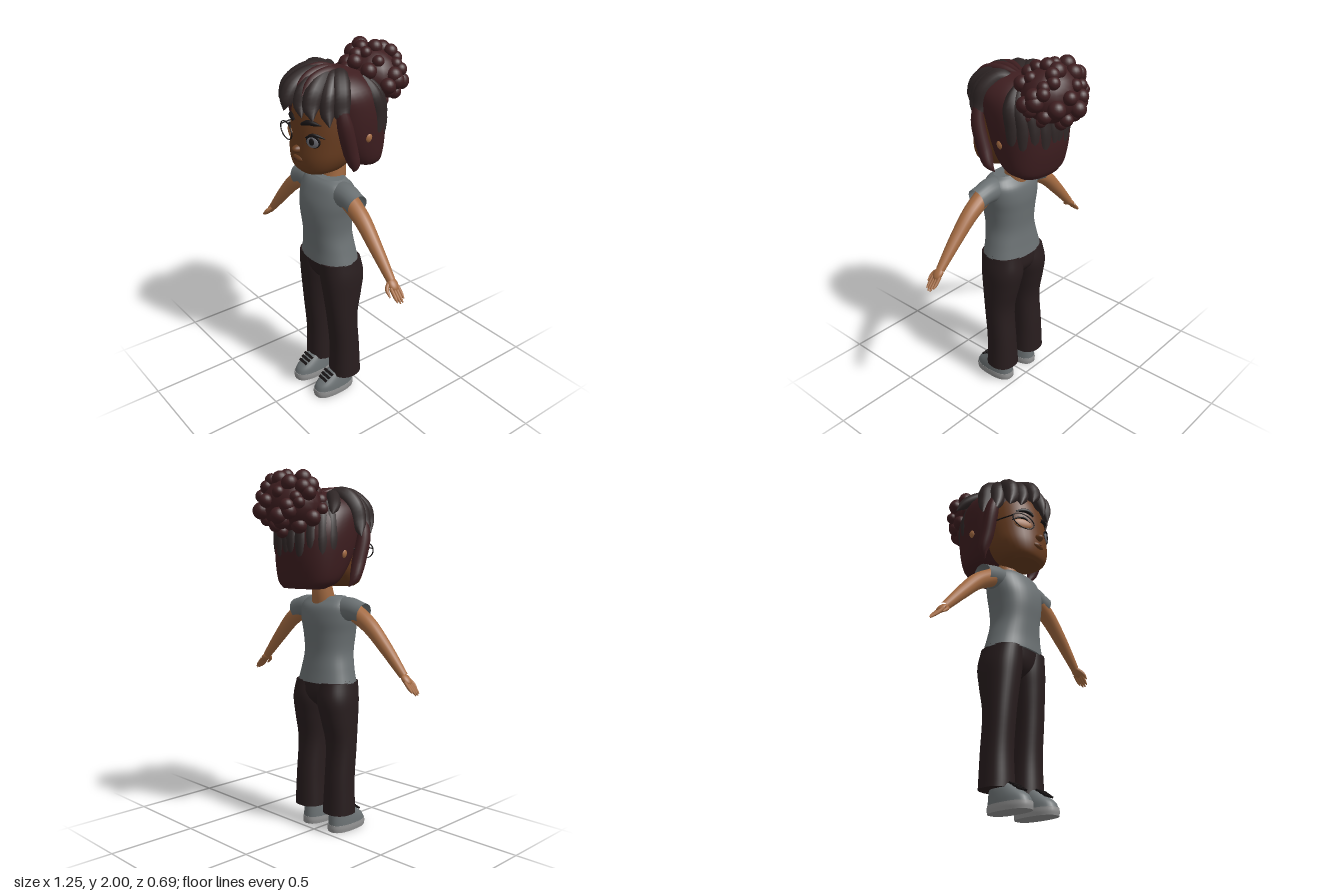
import * as THREE from 'three';

const mat = (name, color, side = THREE.FrontSide) => {
  const m = new THREE.MeshStandardMaterial({ color, side });
  m.name = name;
  return m;
};
const V = (p) => new THREE.Vector3(...p);

// Smooth body from level rings, bottom to top: [y, centre x, half width, front z, back z]
function loft(rings, power = 2.3, steps = 5, n = 36) {
  const centre = new THREE.CatmullRomCurve3(rings.map(([y, cx, , f, b]) => V([cx, y, (f + b) / 2])), false, 'catmullrom', 0.5);
  const size = new THREE.CatmullRomCurve3(rings.map(([, , rx, f, b]) => V([rx, 0, (f - b) / 2])), false, 'catmullrom', 0.5);
  const rows = (rings.length - 1) * steps;
  const pos = [], idx = [];
  const ring = (t) => {
    const c = centre.getPoint(t), r = size.getPoint(t);
    for (let j = 0; j < n; j++) {
      const a = (j / n) * Math.PI * 2, ca = Math.cos(a), sa = Math.sin(a);
      pos.push(c.x + r.x * Math.sign(ca) * Math.abs(ca) ** (2 / power), c.y,
        c.z + r.z * Math.sign(sa) * Math.abs(sa) ** (2 / power));
    }
    return c;
  };
  for (let i = 0; i <= rows; i++) ring(i / rows);
  for (let i = 0; i < rows; i++) {
    for (let j = 0; j < n; j++) {
      const a = i * n + j, b = i * n + ((j + 1) % n);
      idx.push(a, a + n, b, b, a + n, b + n);
    }
  }
  // End caps with their own corners, so the rims stay sharp
  for (const t of [0, 1]) {
    const start = pos.length / 3, c = ring(t);
    pos.push(c.x, c.y, c.z);
    for (let j = 0; j < n; j++) {
      const a = start + j, b = start + ((j + 1) % n);
      if (t) idx.push(start + n, b, a); else idx.push(start + n, a, b);
    }
  }
  const g = new THREE.BufferGeometry();
  g.setAttribute('position', new THREE.Float32BufferAttribute(pos, 3));
  g.setIndex(idx);
  g.computeVertexNormals();
  return g;
}

// Tube through points whose radius follows a list
function taper(points, radii, n = 12, steps = 20) {
  const curve = new THREE.CatmullRomCurve3(points.map(V));
  const g = new THREE.TubeGeometry(curve, steps, 1, n);
  const p = g.attributes.position, v = new THREE.Vector3();
  for (let i = 0; i <= steps; i++) {
    const c = curve.getPointAt(i / steps);
    const u = (i / steps) * (radii.length - 1), k = Math.min(Math.floor(u), radii.length - 2);
    const r = THREE.MathUtils.lerp(radii[k], radii[k + 1], u - k);
    for (let j = 0; j <= n; j++) {
      const q = i * (n + 1) + j;
      v.fromBufferAttribute(p, q).sub(c).multiplyScalar(r).add(c);
      p.setXYZ(q, v.x, v.y, v.z);
    }
  }
  return g;
}

export function createModel() {
  const root = new THREE.Group();
  root.name = 'girl';
  const skin = mat('skin', 0xa46b42), faceSkin = mat('face skin', 0x683c1f);
  const darkHair = mat('dark hair', 0x2f2626), redHair = mat('dark red', 0x3e1e20);
  const shirt = mat('shirt grey', 0x6a7072, THREE.DoubleSide), pants = mat('trouser brown', 0x281d1e);
  const shoe = mat('shoe grey', 0x6b7173), sole = mat('sole grey', 0x929292);
  const black = mat('black', 0x171314), eyeGrey = mat('eye grey', 0x6f6f76);

  const add = (name, geometry, material) => {
    const m = new THREE.Mesh(geometry, material);
    m.name = name;
    root.add(m);
    return m;
  };
  const ball = (name, material, p, s, ry = 0) => {
    const m = add(name, new THREE.SphereGeometry(1, 20, 14), material);
    m.position.set(...p);
    m.scale.set(...s);
    m.rotation.y = ry;
    return m;
  };
  const strand = (name, material, points, r) =>
    add(name, taper(points, [0.3, 0.8, 1, 1, 0.97, 0.8, 0.03].map((k) => k * r)), material);

  // Shirt body, trouser seat and neck
  add('shirt', loft([
    [0.855, 0, 0.18, 0.232, -0.022], [0.93, 0, 0.16, 0.23, -0.01], [1.02, 0, 0.142, 0.238, 0],
    [1.12, 0, 0.15, 0.25, -0.005], [1.2, 0, 0.165, 0.245, -0.01], [1.27, 0, 0.168, 0.222, 0],
    [1.31, 0, 0.148, 0.2, 0.03], [1.33, 0, 0.11, 0.175, 0.05]]), shirt);
  add('trouserSeat', loft([
    [0.7, 0, 0.03, 0.13, 0.06], [0.74, 0, 0.08, 0.185, 0.01], [0.79, 0, 0.15, 0.212, -0.02],
    [0.87, 0, 0.176, 0.224, -0.015]]), pants);
  add('neck', taper([[0, 1.28, 0.08], [0, 1.36, 0.065], [0, 1.46, 0.06]], [0.068, 0.058, 0.058], 20), skin);

  for (const s of [1, -1]) {
    const side = s > 0 ? 'left' : 'right';
    // Trouser leg
    add(side + 'TrouserLeg', loft([
      [0.115, s * 0.112, 0.088, 0.176, 0], [0.3, s * 0.113, 0.08, 0.173, 0.008],
      [0.5, s * 0.111, 0.081, 0.19, 0.02], [0.65, s * 0.103, 0.091, 0.206, -0.01],
      [0.76, s * 0.094, 0.1, 0.217, -0.03], [0.86, s * 0.088, 0.09, 0.222, -0.015]], 2.3), pants);
    // Shoe with sole and laces
    add(side + 'Sole', loft([[0, s * 0.1, 0.063, 0.288, 0.034], [0.02, s * 0.1, 0.065, 0.291, 0.032],
      [0.04, s * 0.1, 0.064, 0.289, 0.034]], 2.5), sole);
    add(side + 'Shoe', loft([[0.038, s * 0.1, 0.063, 0.287, 0.036], [0.07, s * 0.1, 0.06, 0.27, 0.038],
      [0.105, s * 0.1, 0.054, 0.225, 0.042], [0.135, s * 0.1, 0.045, 0.185, 0.05]], 2.4), shoe);
    for (let i = 0; i < 3; i++) {
      const lace = add(side + 'Lace', new THREE.BoxGeometry(0.076 - i * 0.006, 0.009, 0.016), black);
      lace.position.set(s * 0.1, 0.13 - i * 0.014, 0.196 + i * 0.02);
      lace.rotation.x = 0.6;
    }
    // Sleeve and arm
    add(side + 'Sleeve', taper([[s * 0.07, 1.25, 0.115], [s * 0.17, 1.262, 0.115], [s * 0.258, 1.242, 0.118]],
      [0.06, 0.068, 0.065, 0.058, 0.058], 20), shirt);
    add(side + 'Arm', taper([[s * 0.19, 1.25, 0.12], [s * 0.3, 1.182, 0.12], [s * 0.41, 1.075, 0.122],
      [s * 0.535, 0.94, 0.122]], [0.05, 0.046, 0.041, 0.036, 0.03, 0.023], 18), skin);
    // Hand with fingers and thumb
    const palm = ball(side + 'Palm', skin, [s * 0.55, 0.925, 0.122], [0.038, 0.018, 0.028]);
    palm.rotation.z = -s * 0.78;
    for (let i = 0; i < 4; i++) {
      const z = 0.1 + i * 0.015, l = i === 0 ? 0.8 : i === 3 ? 0.9 : 1;
      add(side + 'Finger', taper([[s * 0.56, 0.915, z], [s * (0.56 + 0.03 * l), 0.915 - 0.032 * l, z],
        [s * (0.56 + 0.062 * l), 0.915 - 0.064 * l, z]], [0.009, 0.009, 0.009, 0.003], 8, 8), skin);
    }
    add(side + 'Thumb', taper([[s * 0.535, 0.935, 0.135], [s * 0.552, 0.91, 0.162], [s * 0.585, 0.88, 0.168]],
      [0.011, 0.011, 0.009, 0.003], 8, 8), skin);
    ball(side + 'Ear', skin, [s * 0.2 - 0.012, 1.565, 0.0], [0.022, 0.03, 0.024]);
  }

  // Head, nose and mouth
  add('head', loft([
    [1.383, 0, 0.09, 0.268, 0.11], [1.41, 0, 0.135, 0.29, 0.05], [1.47, 0, 0.17, 0.3, -0.03],
    [1.55, 0, 0.185, 0.296, -0.1], [1.65, 0, 0.19, 0.287, -0.14], [1.75, 0, 0.18, 0.265, -0.13],
    [1.83, 0, 0.14, 0.22, -0.08], [1.87, 0, 0.07, 0.15, 0]]), faceSkin);
  ball('nose', faceSkin, [0, 1.514, 0.294], [0.025, 0.021, 0.035]);
  ball('lips', faceSkin, [0, 1.464, 0.291], [0.042, 0.02, 0.021]);
  const faceZ = (x) => 0.095 + 0.2 * (1 - (Math.abs(x) / 0.187) ** 2.3) ** 0.435;
  const onFace = (x, y, d = 0) => [x, y, faceZ(x) + d];
  add('mouthLine', taper([[-0.042, 1.467, 0.293], [0, 1.464, 0.311], [0.042, 1.467, 0.293]],
    [0.001, 0.003, 0.001], 6), redHair);

  // Brows and lashes
  for (const s of [1, -1]) {
    add('brow', taper([onFace(s * 0.03, 1.65, -0.005), onFace(s * 0.075, 1.666, -0.007), onFace(s * 0.13, 1.657, -0.01)],
      [0.008, 0.014, 0.012, 0.002], 8), black);
    add('upperLash', taper([onFace(s * 0.06, 1.588, 0.002), onFace(s * 0.1, 1.61, 0.002), onFace(s * 0.15, 1.594, 0.004)],
      [0.002, 0.007, 0.008, 0.002], 8), black);
  }
  // Open left eye
  ball('eyeRim', black, onFace(0.1, 1.576, -0.002), [0.042, 0.035, 0.008], 0.42);
  ball('iris', eyeGrey, onFace(0.1, 1.572, 0.001), [0.035, 0.029, 0.009], 0.42);
  ball('pupil', black, onFace(0.1, 1.575, 0.005), [0.018, 0.02, 0.008], 0.42);
  // Right eyelid behind a round lens frame
  ball('eyelid', skin, onFace(-0.1, 1.574, -0.003), [0.056, 0.03, 0.01], -0.42);
  const rim = add('glassesRim', new THREE.TorusGeometry(1, 0.05, 8, 40), black);
  rim.position.set(-0.112, 1.578, 0.287);
  rim.scale.set(0.074, 0.044, 0.07);
  rim.rotation.y = -0.2;
  add('glassesTemple', taper([[-0.184, 1.59, 0.272], [-0.205, 1.59, 0.15], [-0.208, 1.58, 0.02]], [0.004, 0.004], 6), black);

  // Hair mass around the back of the head
  add('hairBack', loft([
    [1.378, -0.005, 0.135, -0.01, -0.155], [1.42, -0.008, 0.186, 0.075, -0.175], [1.54, -0.012, 0.212, 0.165, -0.198],
    [1.68, -0.014, 0.224, 0.21, -0.195], [1.79, -0.012, 0.207, 0.24, -0.145], [1.86, -0.01, 0.14, 0.21, -0.065],
    [1.888, -0.01, 0.05, 0.12, 0.01]], 2.3), redHair);
  // Locks framing the face
  for (const [s, x] of [[1, 0.195], [-1, -0.222]]) {
    strand('sideLock', redHair, [[x * 0.85, 1.78, 0.16], [x, 1.66, 0.15], [x, 1.52, 0.115], [x - s * 0.003, 1.43, 0.085],
      [x - s * 0.03, 1.385, 0.07]], 0.04);
  }
  // Fringe fanned from a centre parting, in uneven strands swept outward
  [-1.4, -1.08, -0.76, -0.45, -0.14, 0.26, 0.58, 0.9, 1.2].forEach((a, i) => {
    const sx = Math.sin(a), cz = Math.cos(a), o = -0.022, out = 0.018 * Math.sign(a);
    const low = Math.abs(sx) * 0.07 + (i % 2) * 0.015, f = i % 2 ? 0.98 : 1.03;
    strand('fringe', darkHair, [[sx * 0.04, 1.858, 0.04 + cz * 0.02], [o + sx * 0.12, 1.862, 0.06 + cz * 0.11],
      [o + sx * 0.185, 1.82 - low * 0.3, 0.06 + cz * 0.215 * f], [o + sx * 0.205, 1.765 - low * 0.6, 0.06 + cz * 0.248 * f],
      [o + sx * 0.212 + out, 1.72 - low, 0.06 + cz * 0.255 * f]], i % 2 ? 0.044 : 0.051);
  });
  for (const x of [-0.04, 0.005, 0.05]) {
    strand('topTwist', redHair, [[x * 0.4, 1.88, 0.04], [x, 1.893, 0.13], [x * 1.1, 1.87, 0.23], [x * 1.2, 1.8, 0.305]], 0.024);
  }
  // Swept strands over the sides and back
  for (const s of [1, -1]) {
    for (let i = 0; i < 5; i++) {
      const a = 0.32 + i * 0.29, c = s * Math.cos(a), b = Math.sin(a), end = 1.53 - 0.03 * (i % 2);
      strand('sweptStrand', darkHair, [[c * 0.11, 1.85, -0.01 - b * 0.06], [c * 0.178, 1.76, -0.01 - b * 0.13],
        [c * 0.192 - 0.01, 1.65, -0.015 - b * 0.16], [c * 0.19 - 0.01, end, -0.015 - b * 0.162]], 0.042);
    }
  }
  strand('looseStrand', darkHair, [[-0.05, 1.865, 0.06], [-0.14, 1.855, 0], [-0.21, 1.81, -0.06], [-0.245, 1.76, -0.11]], 0.034);

  // Curly bun: a core covered with round curls of mixed size
  const bun = [0, 1.815, -0.165], size = [0.17, 0.145, 0.138];
  ball('bunCore', redHair, bun, size);
  const curls = 52;
  for (let i = 0; i < curls; i++) {
    const y = 1 - (2 * (i + 0.5)) / curls, r = Math.sqrt(1 - y * y), a = i * 2.39996 + 0.3 * Math.sin(i * 7.1);
    const k = 1.02 + 0.06 * Math.sin(i * 5.3), d = 0.038 + 0.007 * Math.sin(i * 3.7);
    const dir = [Math.cos(a) * r, y, Math.sin(a) * r];
    ball('curl', redHair, dir.map((v, n) => bun[n] + v * size[n] * k), [d, d, d]);
  }
  return root;
}
